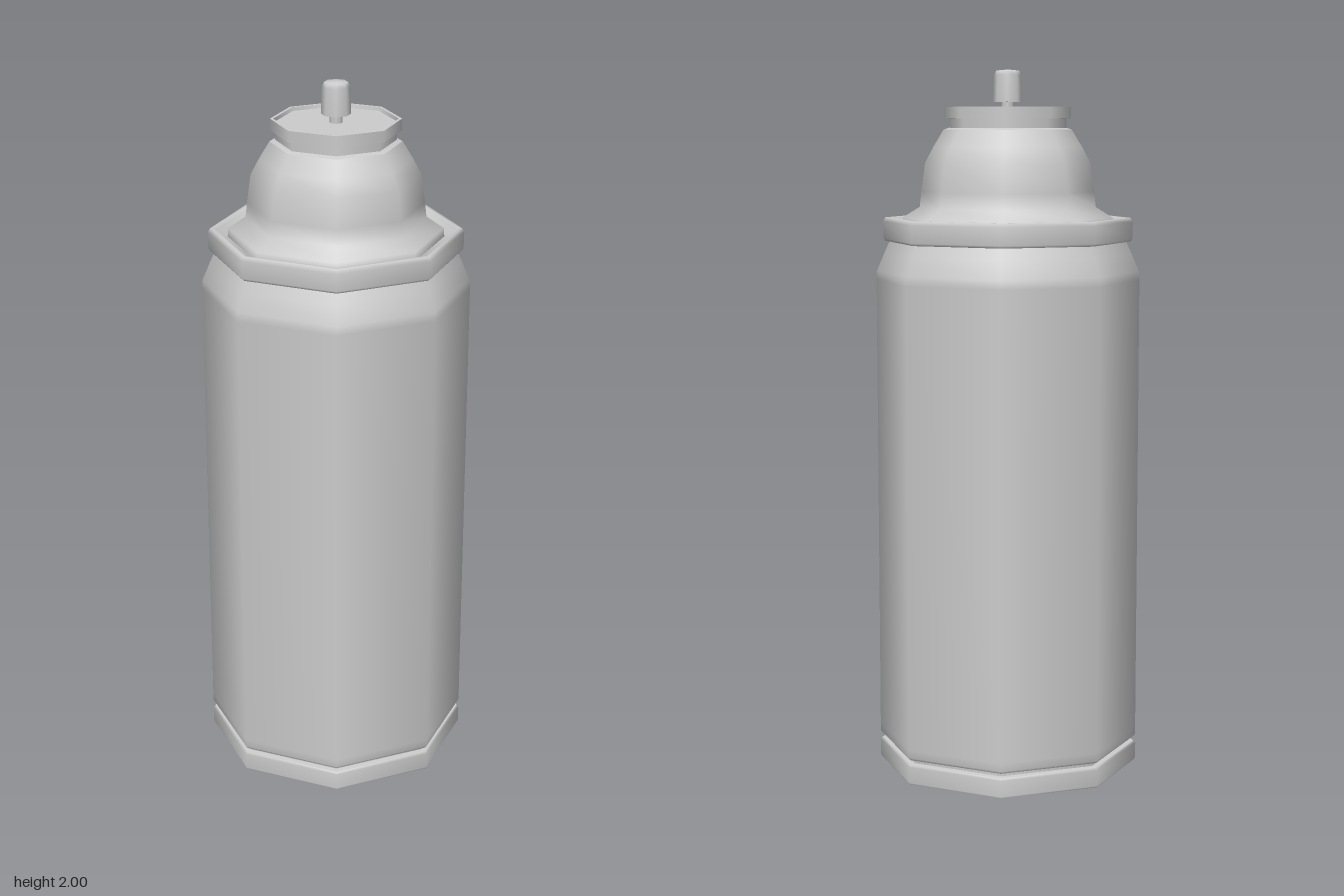
import * as THREE from 'three';

const SIDES = 8;

export function createModel() {
  const model = new THREE.Group();
  const material = new THREE.MeshStandardMaterial({ color: 0xcccccc });

  // Each profile [radius, height] is turned into an eight-sided surface, smooth
  // within itself and creased where it meets the next profile.
  function turned(name, ...profiles) {
    const part = new THREE.Group();
    part.name = name;
    for (const profile of profiles) {
      const points = profile.map(([r, y]) => new THREE.Vector2(r, y));
      const mesh = new THREE.Mesh(new THREE.LatheGeometry(points, SIDES), material);
      mesh.name = name + 'Surface';
      part.add(mesh);
    }
    model.add(part);
  }

  // Hollow underside, domed up into the can
  turned('concaveBottom',
    [[0, 0.11], [0.12, 0.1], [0.23, 0.07], [0.31, 0.03], [0.355, 0]]);

  // Rolled foot ring and the groove above it
  turned('footRing',
    [[0.355, 0], [0.373, 0]],
    [[0.373, 0], [0.375, 0.004], [0.375, 0.05], [0.37, 0.056]],
    [[0.37, 0.056], [0.355, 0.058]],
    [[0.355, 0.058], [0.355, 0.068]],
    [[0.355, 0.068], [0.37, 0.07]]);

  // Straight wall running into the sloped shoulder
  turned('body',
    [[0.37, 0.07], [0.375, 0.077], [0.375, 0.1], [0.375, 1.41],
      [0.373, 1.435], [0.352, 1.485], [0.335, 1.522]]);

  // Crimped collar with a shallow trough inside its rim
  turned('collar',
    [[0.335, 1.522], [0.348, 1.519]],
    [[0.348, 1.519], [0.354, 1.526], [0.355, 1.575], [0.348, 1.586], [0.338, 1.586], [0.33, 1.58]],
    [[0.33, 1.58], [0.3, 1.562]]);

  // Flared dome
  turned('dome',
    [[0.3, 1.562], [0.298, 1.586], [0.25, 1.616], [0.245, 1.66],
      [0.234, 1.74], [0.21, 1.785], [0.181, 1.833]],
    [[0.181, 1.833], [0.166, 1.838]]);

  // Narrow neck and the raised rim of the valve cup
  turned('valveCup',
    [[0.166, 1.838], [0.166, 1.863]],
    [[0.166, 1.863], [0.179, 1.864]],
    [[0.179, 1.864], [0.179, 1.896]],
    [[0.179, 1.896], [0.17, 1.896]],
    [[0.17, 1.896], [0.168, 1.886]],
    [[0.168, 1.886], [0, 1.886]]);

  // Valve stem
  turned('stem', [[0.018, 1.885], [0.018, 1.915]]);

  // Spray button
  turned('nozzle',
    [[0.018, 1.91], [0.041, 1.91]],
    [[0.041, 1.91], [0.038, 1.985], [0.032, 1.997], [0, 2]]);

  return model;
}
